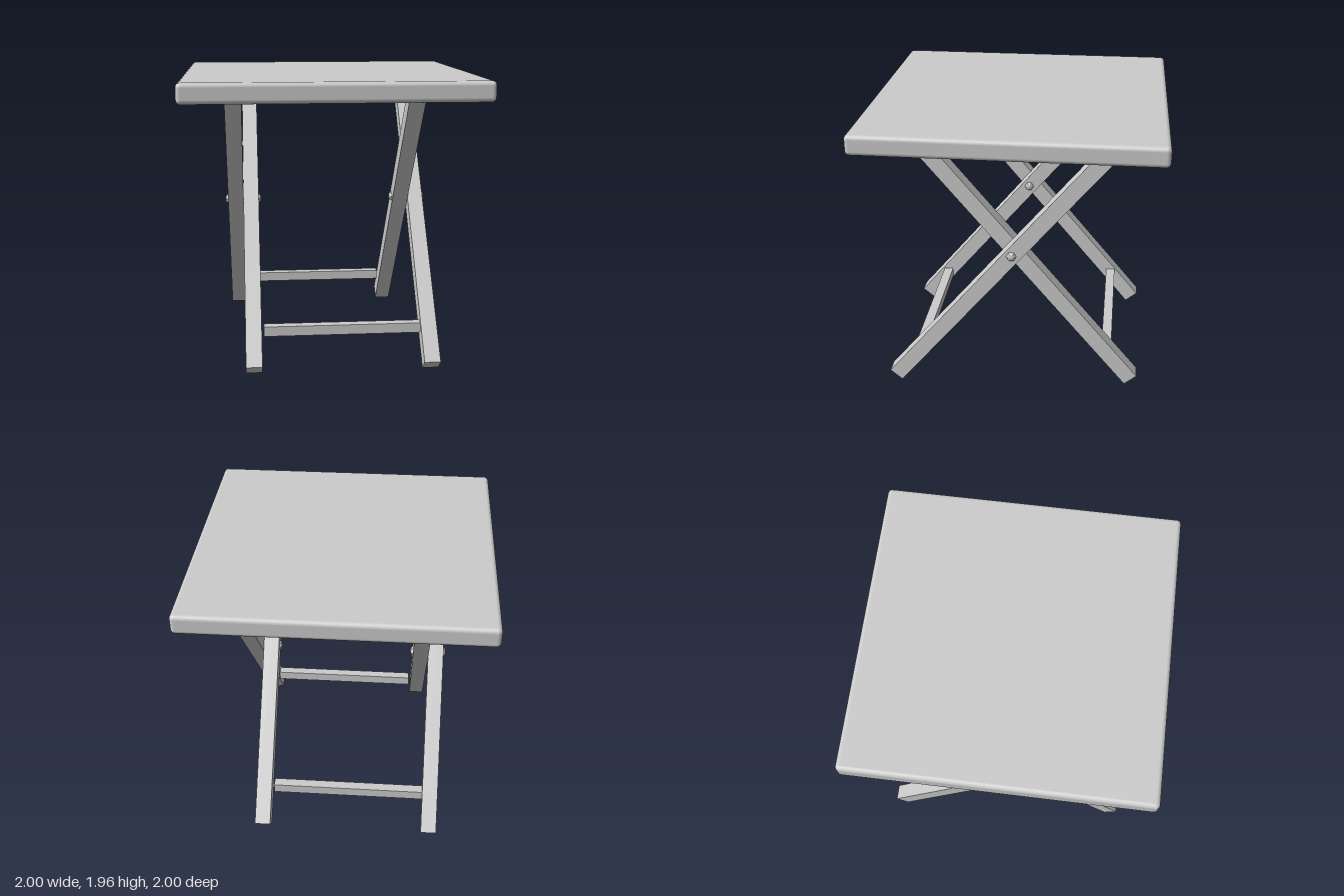
import * as THREE from 'three';
import { RoundedBoxGeometry } from 'three/addons/geometries/RoundedBoxGeometry.js';

const LEAN = THREE.MathUtils.degToRad(40);
const PIVOT_Y = 1.035; // height where the legs cross
const LEG = 0.11;      // square section of a leg
const SIDE_X = 0.6;    // plane between the two crossing legs

export function createModel() {
  const model = new THREE.Group();
  model.name = 'foldingTable';
  const material = new THREE.MeshStandardMaterial({ color: 0xcccccc });
  const flat = new THREE.MeshStandardMaterial({ color: 0xcccccc, flatShading: true });

  const add = (parent, name, geometry, x, y, z, mat = material) => {
    const mesh = new THREE.Mesh(geometry, mat);
    mesh.name = name;
    mesh.position.set(x, y, z);
    parent.add(mesh);
    return mesh;
  };

  // Tabletop with softly rounded edges
  add(model, 'tabletop', new RoundedBoxGeometry(2, 0.135, 2, 4, 0.03), 0, 1.8975, 0);

  // Each leg runs from the floor, through the pivot, into the tabletop
  const below = 1.304, above = 1.12;
  const legGeometry = new THREE.BoxGeometry(LEG, below + above, LEG);
  legGeometry.translate(0, (above - below) / 2, 0);

  // The bar joins the two legs of a frame near the floor
  const barStart = -0.475, barEnd = 0.605;
  const barGeometry = new THREE.BoxGeometry(barEnd - barStart, 0.068, 0.068);

  // Two identical frames, the second turned half way round
  for (const [name, turn] of [['frontFrame', 0], ['backFrame', Math.PI]]) {
    const frame = new THREE.Group();
    frame.name = name;
    frame.rotation.y = turn;
    for (const side of [-1, 1]) {
      const x = side * SIDE_X + LEG / 2;
      const leg = add(frame, side < 0 ? 'innerLeg' : 'outerLeg', legGeometry, x, PIVOT_Y, 0);
      leg.rotation.x = -LEAN;
    }
    add(frame, 'crossbar', barGeometry, (barStart + barEnd) / 2, 0.252, 0.658);
    model.add(frame);
  }

  // Six-sided pivot pins with domed ends
  const pinProfile = [
    [0, -0.13], [0.02, -0.126], [0.032, -0.117], [0.037, -0.105],
    [0.037, 0.105], [0.032, 0.117], [0.02, 0.126], [0, 0.13],
  ].map(([r, h]) => new THREE.Vector2(r, h));
  const pinGeometry = new THREE.LatheGeometry(pinProfile, 6);
  pinGeometry.rotateY(Math.PI / 6).rotateZ(Math.PI / 2).rotateX(Math.PI / 6);
  for (const side of [-1, 1]) {
    add(model, side < 0 ? 'rightPivotPin' : 'leftPivotPin', pinGeometry, side * SIDE_X, PIVOT_Y + 0.005, 0, flat);
  }

  return model;
}
